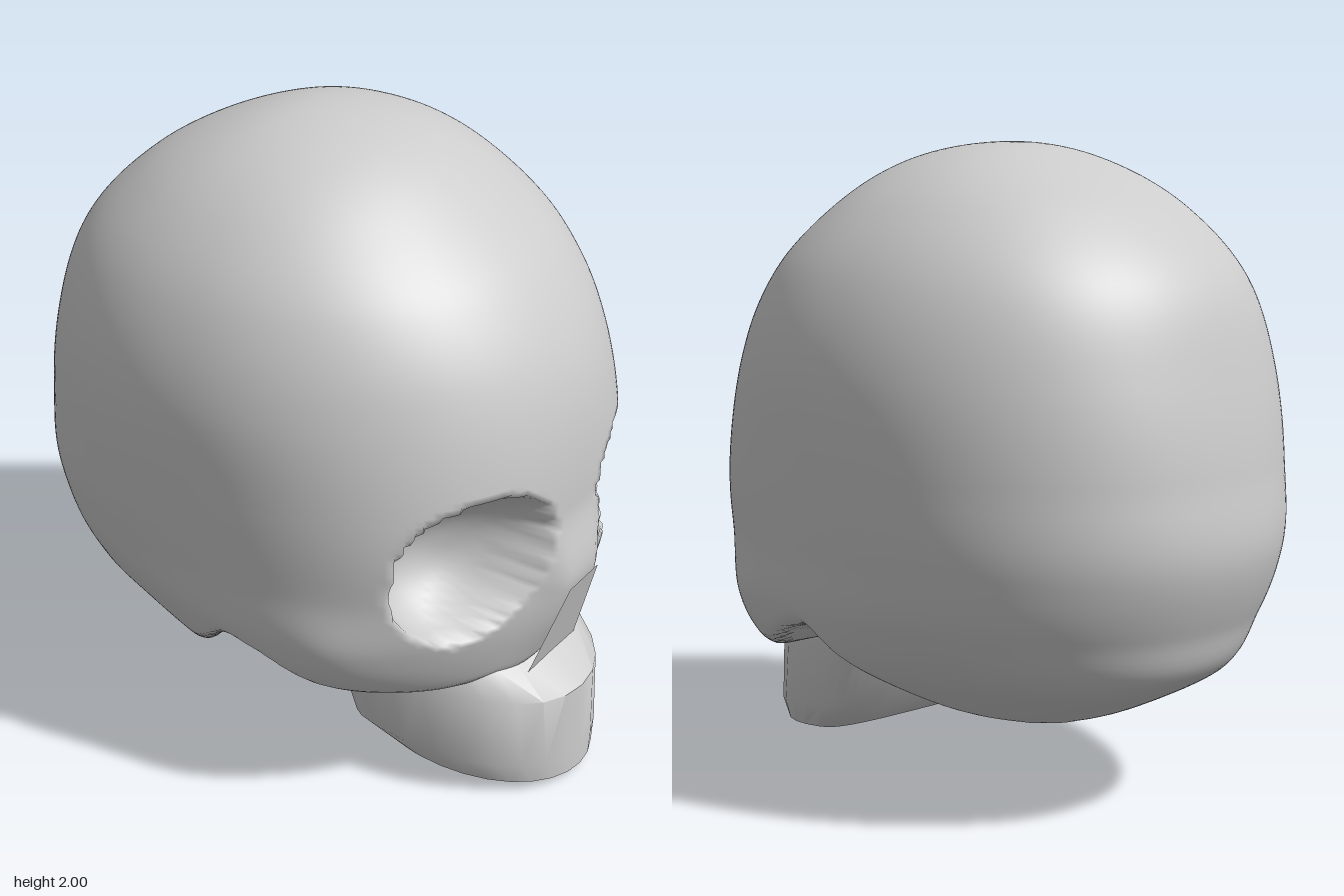
import * as THREE from 'three';
import { mergeVertices, toCreasedNormals } from 'three/addons/utils/BufferGeometryUtils.js';

const { lerp, smoothstep } = THREE.MathUtils;

// Smooth interpolation of column c in rows sorted by their first value
function sample(rows, v, c) {
  const n = rows.length - 1;
  if (v <= rows[0][0]) return rows[0][c];
  if (v >= rows[n][0]) return rows[n][c];
  let i = 0;
  while (v > rows[i + 1][0]) i++;
  const step = k => rows[k + 1][0] - rows[k][0];
  const chord = k => (rows[k + 1][c] - rows[k][c]) / step(k);
  const slope = k => {
    if (k === 0) return chord(0);
    if (k === n) return chord(n - 1);
    return (chord(k - 1) * step(k) + chord(k) * step(k - 1)) / (step(k - 1) + step(k));
  };
  const h = step(i), t = (v - rows[i][0]) / h, u = 1 - t;
  return rows[i][c] * (1 + 2 * t) * u * u + rows[i + 1][c] * t * t * (3 - 2 * t)
    + h * t * u * (u * slope(i) - t * slope(i + 1));
}

// Head outline: height, half width at the face, half width at the back, front z, back z.
// Rows are keyed by the root of the drop from the crown, which keeps the dome round.
const drop = y => Math.sqrt(Math.max(0, 2 - y));
const OUTLINE = [
  [2.0, 0, 0, -0.05, -0.05], [1.96, 0.265, 0.265, 0.22, -0.27], [1.8, 0.535, 0.535, 0.495, -0.585],
  [1.6, 0.69, 0.69, 0.705, -0.78], [1.33, 0.772, 0.772, 0.845, -0.875],
  [1.05, 0.773, 0.773, 0.885, -0.928], [0.79, 0.755, 0.74, 0.875, -0.945],
  [0.6, 0.735, 0.685, 0.845, -0.88], [0.43, 0.655, 0.56, 0.79, -0.79], [0.28, 0.46, 0.38, 0.74, -0.52],
].map(([y, ...rest]) => [drop(y), ...rest]);
// Underside: z, height in the middle, height at the sides
const UNDERSIDE = [
  [-0.8, 0.42, 0.42], [-0.5, 0.28, 0.28], [-0.23, 0.30, 0.33], [0, 0.38, 0.47],
  [0.1, 0.42, 0.56], [0.2, 0.45, 0.54], [0.4, 0.43, 0.43], [0.6, 0.4, 0.4], [0.85, 0.38, 0.38],
];

function insideHead(x, y, z) {
  if (y >= 2) return false;
  const s = drop(y), front = sample(OUTLINE, s, 3), back = sample(OUTLINE, s, 4);
  const cheek = 0.03 * Math.exp(-(((z - 0.47) / 0.15) ** 2) - ((y - 0.58) / 0.14) ** 2);
  const w = lerp(sample(OUTLINE, s, 2), sample(OUTLINE, s, 1), smoothstep(z, -0.4, 0.2)) + cheek;
  const mid = lerp(-0.05, 0, Math.min(1, s / 0.6));
  // the face is squarer than the dome
  const n = z > mid ? lerp(2.4, 2.07, smoothstep(y, 0.85, 1.4)) : 2.13;
  const d = (z - mid) / (z > mid ? front - mid : back - mid);
  const wall = 0.75 * ((Math.abs(x / w) ** n + Math.abs(d) ** n) ** (1 / n) - 1);
  const side = smoothstep(Math.abs(x), 0.3, 0.6);
  const floor = lerp(sample(UNDERSIDE, z, 1), sample(UNDERSIDE, z, 2), side) - y;
  // the wall and the underside meet in a rounded edge
  const blend = Math.max(0, 0.05 - Math.abs(wall - floor));
  return Math.max(wall, floor) + blend * blend / 0.2 < 0;
}

// Depth of the eye socket: a round bowl with the lower inner corner cut away
function socketDepth(x, y) {
  const u = (Math.abs(x) - 0.36) / 0.235, v = (y - 0.855) / 0.235;
  const corner = Math.max(0, -u - v - 0.65);
  const e = (Math.abs(u) ** 2.4 + Math.abs(v) ** 2.4) ** (1 / 2.4) + corner * 0.6;
  return 0.27 * Math.max(0, 1 - e * e) ** 0.75;
}

// Swelling of the nasal bone, widening down to the jaw
function noseHeight(x, y) {
  const w = 0.07 + Math.max(0, 0.7 - y) * 0.2;
  const across = 1 - smoothstep(Math.abs(x), w, w + 0.13);
  const along = y > 0.7 ? 1 - smoothstep(y, 0.7, 0.95) : lerp(0.4, 1, Math.max(0, (y - 0.39) / 0.31));
  return 0.05 * across * along;
}

// Cranium: each sphere vertex slides out along its ray to the head's surface
function craniumGeometry() {
  const sphere = new THREE.SphereGeometry(1, 200, 140);
  sphere.deleteAttribute('uv');
  sphere.deleteAttribute('normal');
  const g = mergeVertices(sphere), p = g.attributes.position;
  const d = new THREE.Vector3();
  for (let i = 0; i < p.count; i++) {
    d.fromBufferAttribute(p, i).normalize();
    let lo = 0, hi = 1.8;
    for (let k = 0; k < 22; k++) {
      const t = (lo + hi) / 2;
      if (insideHead(d.x * t, 1 + d.y * t, d.z * t)) lo = t; else hi = t;
    }
    const x = d.x * lo, y = 1 + d.y * lo;
    let z = d.z * lo;
    if (z > 0.3) z += noseHeight(x, y) * smoothstep(z, 0.6, 0.75) - socketDepth(x, y);
    p.setXYZ(i, x, y, z);
  }
  g.computeVertexNormals();
  return g;
}

// Upper jaw rings: y front, y back, z front, z back, half width, roundness of the front
function jawGeometry() {
  const rings = [
    [0.42, 0.56, 0.80, 0.14, 0.40, 0.6], [0.32, 0.45, 0.94, 0.20, 0.40, 0.95],
    [0.09, 0.21, 0.95, 0.29, 0.39, 1], [0.025, 0.09, 0.95, 0.44, 0.32, 1],
    [0, 0.07, 0.90, 0.52, 0.2, 1], [0.03, 0.03, 0.72, 0.72, 0, 1],
  ];
  const N = 32, points = [], index = [];
  rings.forEach(([yF, yB, zF, zB, w, round], r) => {
    const mid = zB + (zF - zB) * 0.22;
    for (let i = 0; i < N; i++) {
      const a = i / N * Math.PI * 2, c = Math.cos(a), s = Math.sin(a);
      const x = w * Math.sign(s) * Math.abs(s) ** (c > 0 ? round : 0.6);
      const z = mid + (c > 0 ? zF - mid : zB - mid) * Math.abs(c) ** (c > 0 ? 1 : 0.6);
      points.push(x, lerp(yB, yF, (z - zB) / (zF - zB || 1)), z);
      if (r === rings.length - 1) continue;
      const p = r * N + i, q = r * N + (i + 1) % N;
      index.push(p, p + N, q, q, p + N, q + N);
    }
  });
  const g = new THREE.BufferGeometry();
  g.setAttribute('position', new THREE.Float32BufferAttribute(points, 3));
  g.setIndex(index);
  return toCreasedNormals(g, 0.8);
}

// Nasal opening: a flat tapered plate, leaning back towards the jaw
function noseGeometry() {
  const g = new THREE.BufferGeometry();
  g.setAttribute('position', new THREE.Float32BufferAttribute([
    -0.08, 0.7, 0.92, 0.085, 0.705, 0.92, -0.14, 0.39, 0.822, 0.14, 0.39, 0.822,
  ], 3));
  g.setIndex([0, 2, 1, 1, 2, 3]);
  g.computeVertexNormals();
  return g;
}

export function createModel() {
  const group = new THREE.Group();
  group.name = 'skull';
  const bone = new THREE.MeshStandardMaterial({ color: 0xcccccc });
  const thin = new THREE.MeshStandardMaterial({ color: 0xcccccc, side: THREE.DoubleSide });
  const add = (name, geometry, material) => {
    const mesh = new THREE.Mesh(geometry, material);
    mesh.name = name;
    group.add(mesh);
  };
  add('cranium', craniumGeometry(), bone);
  add('upperJaw', jawGeometry(), bone);
  add('nasalOpening', noseGeometry(), thin);
  return group;
}
